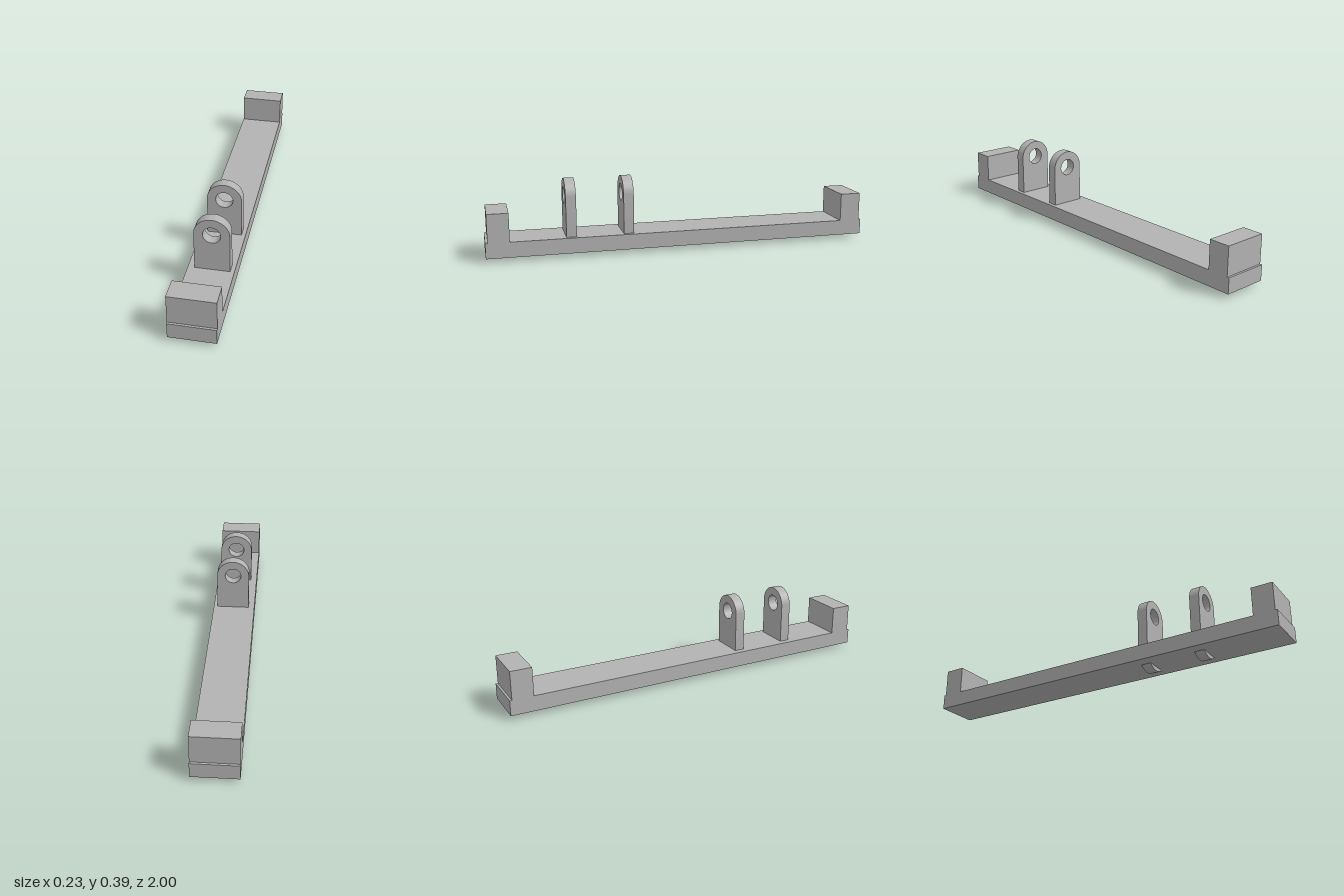
import * as THREE from 'three';
import { toCreasedNormals } from 'three/addons/utils/BufferGeometryUtils.js';

export function createModel() {
  const model = new THREE.Group();
  const grey = new THREE.MeshStandardMaterial({ color: 0xb2b2b2 });
  grey.name = 'plain grey';

  const add = (name, geometry, x, y, z) => {
    const mesh = new THREE.Mesh(geometry, grey);
    mesh.name = name;
    mesh.position.set(x, y, z);
    model.add(mesh);
  };

  // Long base bar
  const width = 0.226;
  add('baseBar', new THREE.BoxGeometry(width, 0.079, 2), 0, 0.0615, 0);

  // Raised blocks, set in slightly from both ends
  for (const side of [1, -1]) {
    const name = side > 0 ? 'frontEndBlock' : 'backEndBlock';
    add(name, new THREE.BoxGeometry(width, 0.146, 0.108), 0, 0.174, side * 0.935);
  }

  // Round-ended lug with an eye, passing through the bar and out below
  const radius = 0.0865, lowY = 0.0865, highY = 0.301, thickness = 0.052;
  const outline = new THREE.Shape();
  outline.absarc(0, highY, radius, 0, Math.PI, false);
  outline.absarc(0, lowY, radius, Math.PI, Math.PI * 2, false);
  outline.closePath();
  const eye = new THREE.Path();
  eye.absarc(0, highY, 0.043, 0, Math.PI * 2, true);
  outline.holes.push(eye);
  const lug = toCreasedNormals(
    new THREE.ExtrudeGeometry(outline, { depth: thickness, bevelEnabled: false, curveSegments: 32 }),
    0.6
  );
  lug.translate(0, 0, -thickness / 2);
  add('frontLug', lug, 0.006, 0, 0.574);
  add('rearLug', lug, 0.006, 0, 0.281);

  return model;
}
